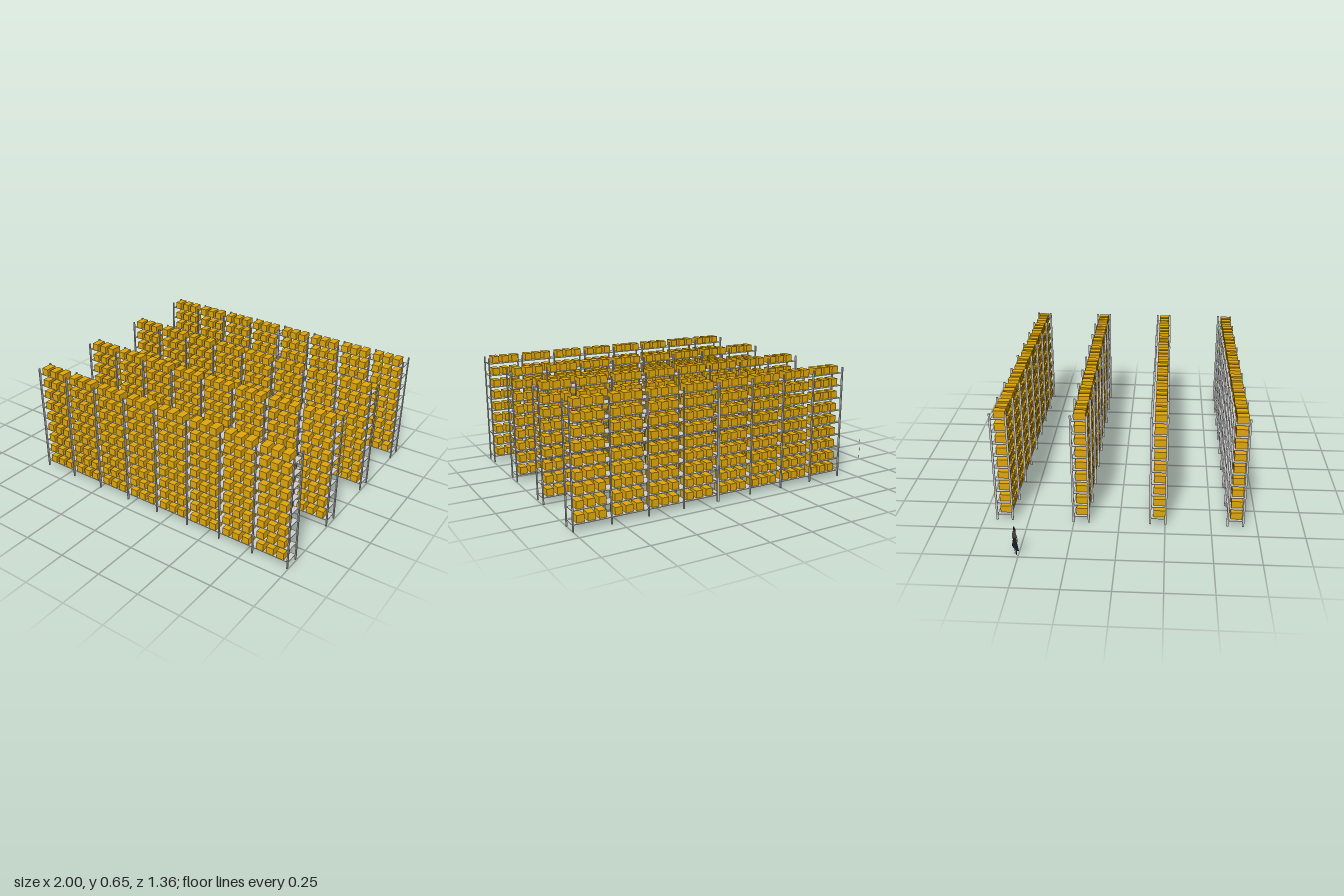
import * as THREE from 'three';

const BAYS = 8, LEVELS = 9;
const BAY = 0.2065, LEFT = -0.659;
const LEVEL_STEP = 0.0724, FIRST_LEVEL = 0.035;
const steel = new THREE.MeshStandardMaterial({ color: 0xcccccc });
const yellow = new THREE.MeshStandardMaterial({ color: 0xdda50a });

const postGeo = new THREE.BoxGeometry(0.006, 0.648, 0.011);
const shelfGeo = new THREE.BoxGeometry(BAY, 0.003, 0.077);
const crateGeo = new THREE.BoxGeometry(0.041, 0.04, 0.063);

function add(parent, name, geo, mat, x, y, z) {
  const mesh = new THREE.Mesh(geo, mat);
  mesh.name = name;
  mesh.position.set(x, y, z);
  parent.add(mesh);
  return mesh;
}

// One frame of front and back uprights
function addPosts(rack, x) {
  add(rack, 'frontPost', postGeo, steel, x, 0.324, 0.0425);
  add(rack, 'backPost', postGeo, steel, x, 0.324, -0.0425);
}

// One bay: shelves, each carrying three crates
function addBay(rack, x) {
  for (let level = 0; level < LEVELS; level++) {
    const y = FIRST_LEVEL + level * LEVEL_STEP;
    add(rack, 'shelf', shelfGeo, steel, x, y - 0.0015, 0);
    for (let i = -1; i <= 1; i++) {
      add(rack, 'crate', crateGeo, yellow, x - 0.004 + i * 0.0598, y + 0.02, 0.0055);
    }
  }
}

// A run of bays; a split run has a doubled upright in the middle
function makeRack(z, split) {
  const rack = new THREE.Group();
  rack.name = 'rack';
  rack.position.z = z;
  for (let i = 0; i <= BAYS; i++) {
    const shift = split && i >= BAYS / 2 ? 0.007 : 0;
    addPosts(rack, LEFT + i * BAY + (i === BAYS / 2 ? 0 : shift));
    if (shift && i === BAYS / 2) addPosts(rack, LEFT + i * BAY + shift);
    if (i < BAYS) addBay(rack, LEFT + (i + 0.5) * BAY + shift);
  }
  return rack;
}

// Flat cut-out of a standing person, for scale
function makePerson() {
  const person = new THREE.Group();
  person.name = 'person';
  const paint = (color) => new THREE.MeshStandardMaterial({ color, side: THREE.DoubleSide });
  const skin = paint(0x8a5f50), dark = paint(0x1b1e2a), blouse = paint(0x4b474c), hair = paint(0x2a1d1a);
  const part = (name, mat, pts) => {
    const shape = new THREE.Shape(pts.map(([x, y]) => new THREE.Vector2(x, y)));
    add(person, name, new THREE.ShapeGeometry(shape), mat, 0, 0, 0);
  };
  part('skirt', dark, [[-0.031, 0.036], [-0.012, 0.028], [0.018, 0.029], [0.032, 0.038],
    [0.022, 0.072], [0.014, 0.1], [-0.012, 0.1], [-0.021, 0.07]]);
  part('blouse', blouse, [[-0.012, 0.1], [0.014, 0.1], [0.019, 0.125], [0.014, 0.136],
    [0.005, 0.14], [-0.006, 0.14], [-0.015, 0.135], [-0.018, 0.122]]);
  part('hair', hair, [[-0.011, 0.14], [-0.006, 0.14], [0.005, 0.14], [0.011, 0.142],
    [0.011, 0.161], [0.006, 0.169], [0, 0.171], [-0.006, 0.169], [-0.011, 0.16]]);
  for (const s of [-1, 1]) {
    const flip = (pts) => pts.map(([x, y]) => [x * s, y]);
    part('arm', skin, flip([[0.018, 0.127], [0.024, 0.108], [0.023, 0.085], [0.019, 0.085], [0.014, 0.1]]));
    part('leg', skin, flip([[0.003, 0.008], [0.008, 0.008], [0.011, 0.029], [0.003, 0.029]]));
    part('shoe', dark, flip([[0.002, 0], [0.013, 0], [0.009, 0.009], [0.003, 0.009]]));
  }
  // Face sits just in front of the hair
  add(person, 'face', new THREE.CircleGeometry(0.007, 12), skin, 0, 0.153, 0.0006);
  person.position.set(-0.977, 0, -0.514);
  person.rotation.y = Math.PI / 4;
  return person;
}

export function createModel() {
  const model = new THREE.Group();
  model.name = 'warehouseRacks';
  for (let i = 0; i < 4; i++) model.add(makeRack(0.632 - i * 0.4213, i === 3));
  model.add(makePerson());
  return model;
}
